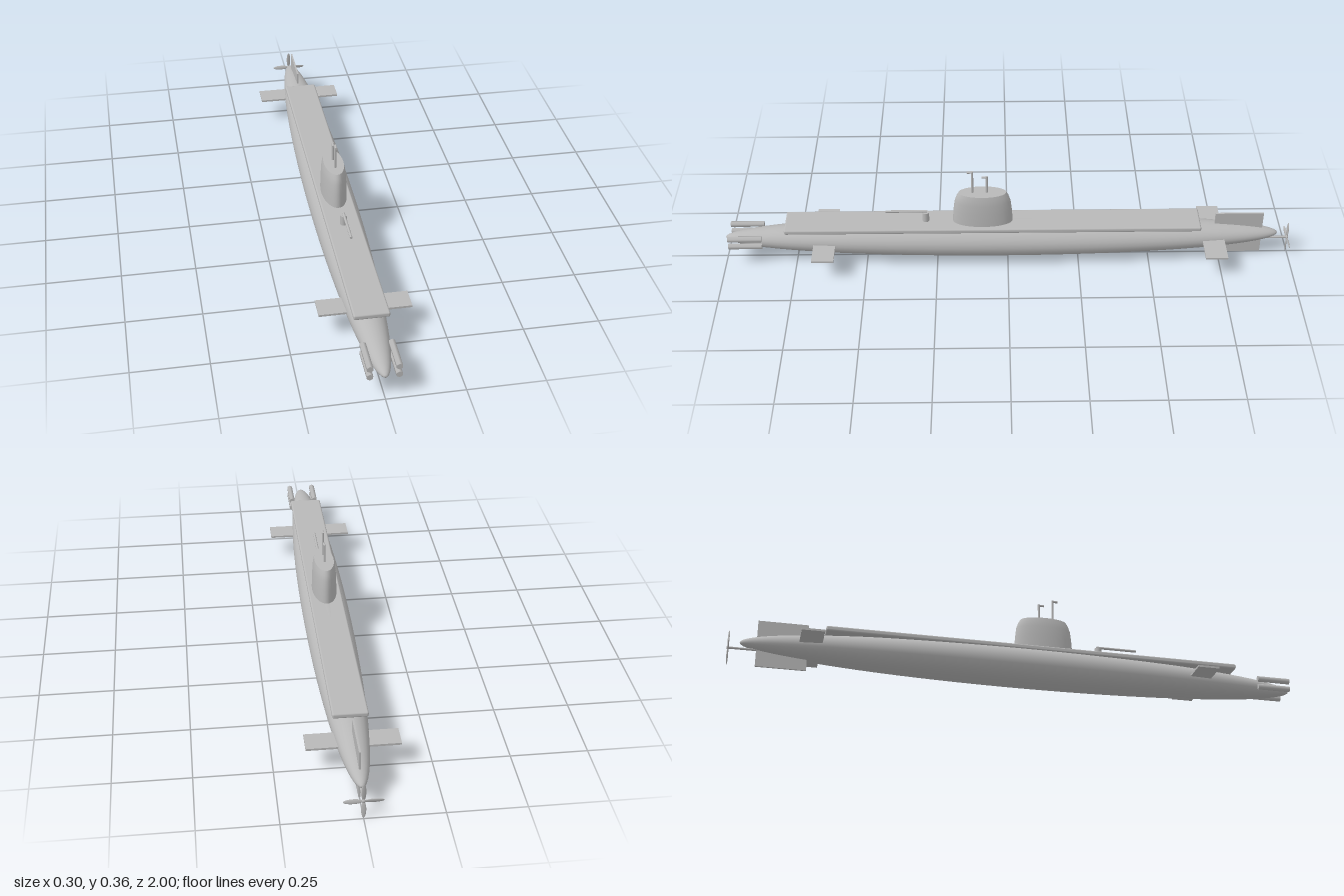
import * as THREE from 'three';
import { RoundedBoxGeometry } from 'three/addons/geometries/RoundedBoxGeometry.js';

export function createModel() {
  const model = new THREE.Group();
  model.name = 'submarine';
  const grey = new THREE.MeshStandardMaterial({ name: 'hull grey', color: 0xb8b8b8 });

  function add(name, geometry, x = 0, y = 0, z = 0, parent = model) {
    const mesh = new THREE.Mesh(geometry, grey);
    mesh.name = name;
    mesh.position.set(x, y, z);
    parent.add(mesh);
    return mesh;
  }
  const rodZ = (r, length, sides) => new THREE.CylinderGeometry(r, r, length, sides).rotateX(Math.PI / 2);

  // Slender hull with its poles at bow and stern
  add('hull', new THREE.SphereGeometry(1, 24, 40).rotateX(Math.PI / 2).scale(0.083, 0.068, 0.978), 0, 0.088, 0.02);

  // Flat walking deck with softened edges
  add('deck', new RoundedBoxGeometry(0.116, 0.018, 1.46, 2, 0.006), 0, 0.146, 0.053);

  // Oval conning tower, tapering to a flat roof
  const towerProfile = [[1, 0.14], [1, 0.16], [0.97, 0.205], [0.93, 0.24], [0.87, 0.26], [0.79, 0.275]]
    .map(([r, y]) => new THREE.Vector2(r, y));
  add('conningTower', new THREE.LatheGeometry(towerProfile, 32).scale(0.043, 1, 0.105), 0, 0, 0.088);
  add('towerRoof', new THREE.CircleGeometry(0.79, 32).rotateX(-Math.PI / 2).scale(0.043, 1, 0.105), 0, 0.275, 0.088);

  // Two periscopes with heads turned forward
  for (const [z, top] of [[0.123, 0.363], [0.073, 0.342]]) {
    const periscope = new THREE.Group();
    periscope.name = 'periscope';
    model.add(periscope);
    const height = top - 0.26;
    add('mast', new THREE.CylinderGeometry(0.004, 0.004, height, 10), 0, 0.26 + height / 2, z, periscope);
    add('periscopeHead', rodZ(0.004, 0.02, 10), 0, top - 0.004, z + 0.008, periscope);
  }

  // Deck gun
  add('gunPedestal', new THREE.CylinderGeometry(0.012, 0.012, 0.04, 16), 0, 0.17, 0.288);
  add('gunBarrel', rodZ(0.0045, 0.145, 10), 0, 0.194, 0.355);

  // Diving planes and bow tubes on both sides
  for (const side of [-1, 1]) {
    add('bowPlane', new THREE.BoxGeometry(0.12, 0.007, 0.077), side * 0.09, 0.0905, 0.645);
    add('sternPlane', new THREE.BoxGeometry(0.13, 0.007, 0.077), side * 0.085, 0.0905, -0.725);
    for (const y of [0.11, 0.08]) {
      add('torpedoTube', rodZ(0.011, 0.118, 6), side * 0.045, y, 0.925);
    }
  }

  // Upright rudder through the stern
  add('rudder', new THREE.BoxGeometry(0.006, 0.168, 0.17), 0, 0.09, -0.817);

  // Four-bladed propeller below the stern tip
  add('propellerShaft', rodZ(0.004, 0.15, 10), 0, 0.066, -0.922);
  const propeller = new THREE.Group();
  propeller.name = 'propeller';
  propeller.position.set(0, 0.066, -0.995);
  model.add(propeller);
  add('hub', new THREE.SphereGeometry(0.007, 12, 8).scale(1, 1, 0.7), 0, 0, 0, propeller);
  for (let i = 0; i < 4; i++) {
    const blade = new THREE.SphereGeometry(1, 14, 10).scale(0.008, 0.031, 0.0025)
      .rotateY(0.25).translate(0, 0.032, 0).rotateZ(i * Math.PI / 2);
    add('blade', blade, 0, 0, 0, propeller);
  }
  return model;
}
